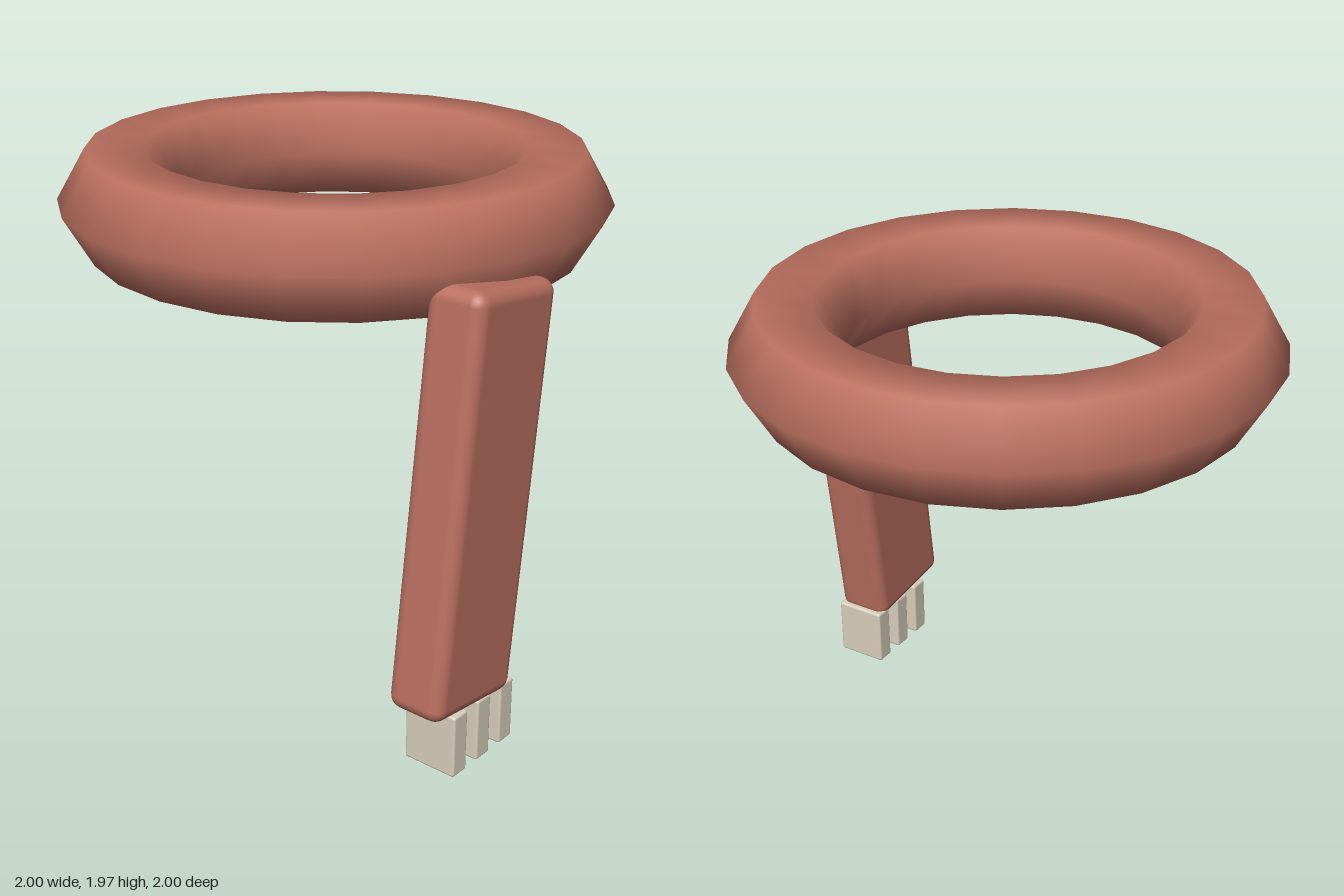
import * as THREE from 'three';
import { RoundedBoxGeometry } from 'three/addons/geometries/RoundedBoxGeometry.js';

export function createModel() {
  const model = new THREE.Group();
  const skin = new THREE.MeshStandardMaterial({ color: 0xb96f5f });
  const bone = new THREE.MeshStandardMaterial({ color: 0xd8cebb });

  const add = (name, geometry, material, x, y, z) => {
    const mesh = new THREE.Mesh(geometry, material);
    mesh.name = name;
    mesh.position.set(x, y, z);
    model.add(mesh);
    return mesh;
  };

  // Horizontal ring with a six-sided cross-section
  const ring = add('ring', new THREE.TorusGeometry(0.79, 0.21, 6, 24), skin, 0, 1.785, 0);
  ring.rotation.x = Math.PI / 2;

  // Leaning leg hanging from the front of the ring
  const leg = add('leg', new RoundedBoxGeometry(0.443, 1.49, 0.225, 3, 0.05), skin, -0.355, 0.97, 0.887);
  leg.rotation.z = -0.122;

  // Three upright claws under the leg
  const clawGeometry = new RoundedBoxGeometry(0.078, 0.24, 0.21, 2, 0.01);
  for (let i = 0; i < 3; i++) {
    add('claw' + (i + 1), clawGeometry, bone, -0.513 + i * 0.136, 0.12, 0.886);
  }
  return model;
}
